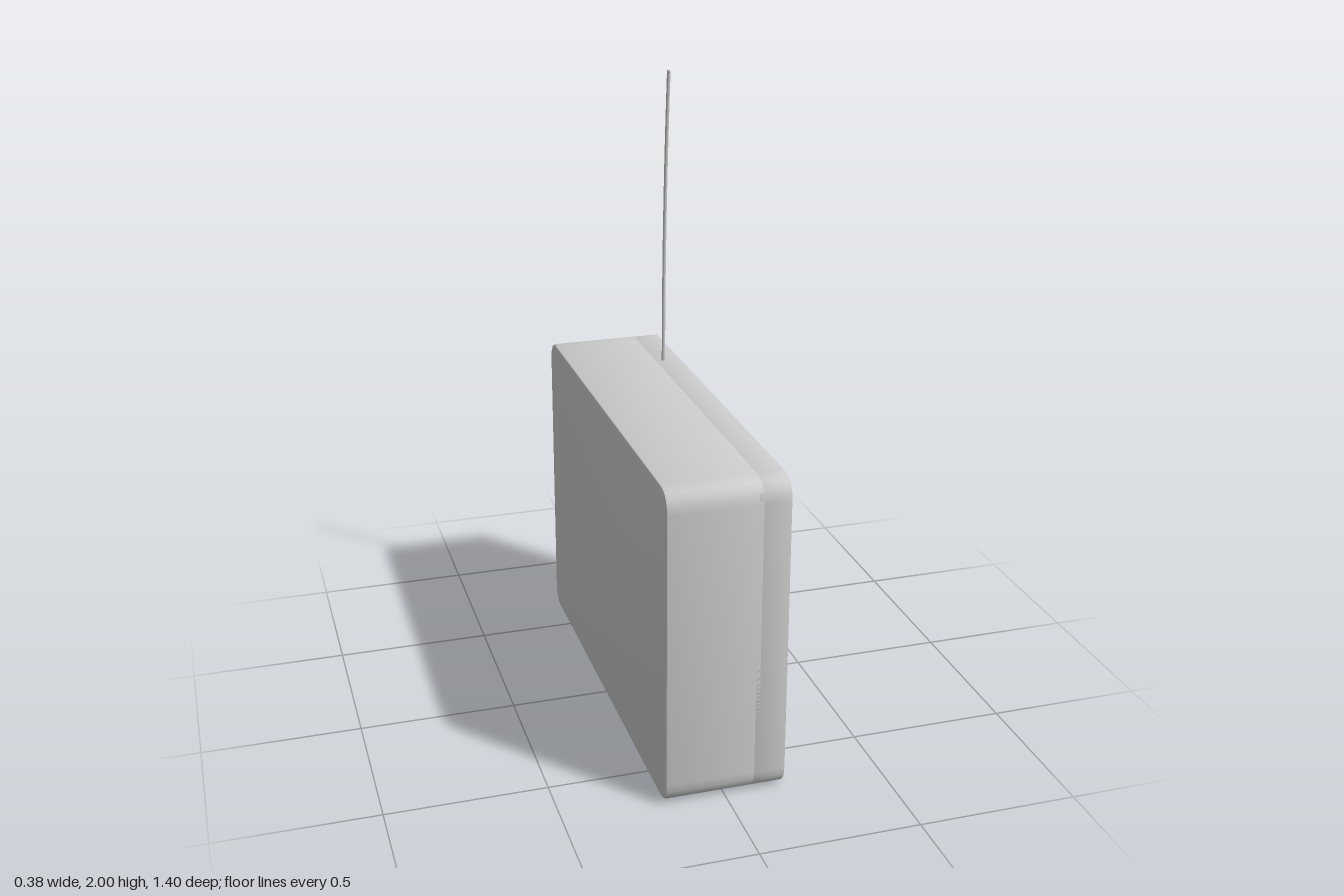
import * as THREE from 'three';
import { toCreasedNormals } from 'three/addons/utils/BufferGeometryUtils.js';

const material = new THREE.MeshStandardMaterial({ color: 0xcccccc });

// Rounded rectangle outline; u runs along -z, v is height. rt / rb: top and bottom corner radii.
function roundRect(u0, u1, v0, v1, rt, rb = rt, target = new THREE.Shape()) {
  target.moveTo(u0 + rb, v0);
  target.lineTo(u1 - rb, v0);
  if (rb) target.quadraticCurveTo(u1, v0, u1, v0 + rb);
  target.lineTo(u1, v1 - rt);
  target.quadraticCurveTo(u1, v1, u1 - rt, v1);
  target.lineTo(u0 + rt, v1);
  target.quadraticCurveTo(u0, v1, u0, v1 - rt);
  target.lineTo(u0, v0 + rb);
  if (rb) target.quadraticCurveTo(u0, v0, u0 + rb, v0);
  return target;
}
const hole = (...args) => roundRect(...args, new THREE.Path());

// Slab between x0 and x1 that keeps its outline, with bevelled rims.
function slab(name, shape, x0, x1, bevel = 0) {
  const geometry = new THREE.ExtrudeGeometry(shape, {
    depth: x1 - x0 - 2 * bevel, curveSegments: 5, bevelEnabled: bevel > 0,
    bevelSize: bevel, bevelThickness: bevel, bevelOffset: -bevel, bevelSegments: 2,
  });
  geometry.translate(0, 0, x0 + bevel);
  geometry.rotateY(Math.PI / 2);
  const mesh = new THREE.Mesh(toCreasedNormals(geometry, 0.6), material);
  mesh.name = name;
  return mesh;
}

// Control knob: low base ring with a chamfered cap.
function knob(name, y, z, outer, inner) {
  const profile = [
    [outer, 0], [outer - 0.004, 0.004], [inner + 0.005, 0.004],
    [inner + 0.002, 0.016], [inner - 0.006, 0.021], [0, 0.021],
  ].map(([r, h]) => new THREE.Vector2(r, h));
  const geometry = new THREE.LatheGeometry(profile, 28);
  geometry.rotateZ(-Math.PI / 2);
  const mesh = new THREE.Mesh(toCreasedNormals(geometry, 0.5), material);
  mesh.name = name;
  mesh.position.set(0.165, y, z);
  return mesh;
}

export function createModel() {
  const group = new THREE.Group();
  group.name = 'tableRadio';

  // Case: solid back block, whose front is the speaker floor, and a thin rim around the face
  group.add(slab('caseBody', roundRect(-0.7, 0.7, 0, 1.015, 0.07), -0.1875, 0.11, 0.008));
  const rim = roundRect(-0.7, 0.7, 0, 1.015, 0.07);
  rim.holes.push(hole(-0.675, 0.675, 0.018, 0.999, 0.06, 0.06));
  group.add(slab('caseRim', rim, 0.085, 0.1875, 0.004));

  // Face panel with speaker and dial openings
  const panel = roundRect(-0.678, 0.678, 0.015, 1.002, 0.06);
  panel.holes.push(hole(-0.648, 0.648, 0.365, 0.986, 0.06, 0));
  panel.holes.push(hole(-0.42, 0.365, 0.085, 0.345, 0.025, 0.025));
  group.add(slab('facePanel', panel, 0.105, 0.165));

  // Dial window in a raised frame
  const frame = roundRect(-0.455, 0.397, 0.07, 0.356, 0.03);
  frame.holes.push(hole(-0.422, 0.367, 0.086, 0.344, 0.025, 0.025));
  group.add(slab('dialFrame', frame, 0.15, 0.182, 0.004));
  group.add(slab('dialWindow', roundRect(-0.43, 0.375, 0.078, 0.35, 0.025), 0.11, 0.135));

  // Controls
  group.add(knob('largeKnob', 0.185, 0.567, 0.085, 0.058));
  group.add(knob('smallKnob', 0.185, -0.53, 0.068, 0.047));

  // Gently bent aerial
  const path = new THREE.QuadraticBezierCurve3(
    new THREE.Vector3(0.128, 0.99, -0.378),
    new THREE.Vector3(0.128, 1.5, -0.378),
    new THREE.Vector3(0.128, 2, -0.322));
  const aerial = new THREE.Mesh(new THREE.TubeGeometry(path, 24, 0.006, 8), material);
  aerial.name = 'aerial';
  const tip = new THREE.Mesh(new THREE.SphereGeometry(0.006, 8, 6), material);
  tip.name = 'aerialTip';
  tip.position.set(0.128, 1.995, -0.322);
  group.add(aerial, tip);

  return group;
}
